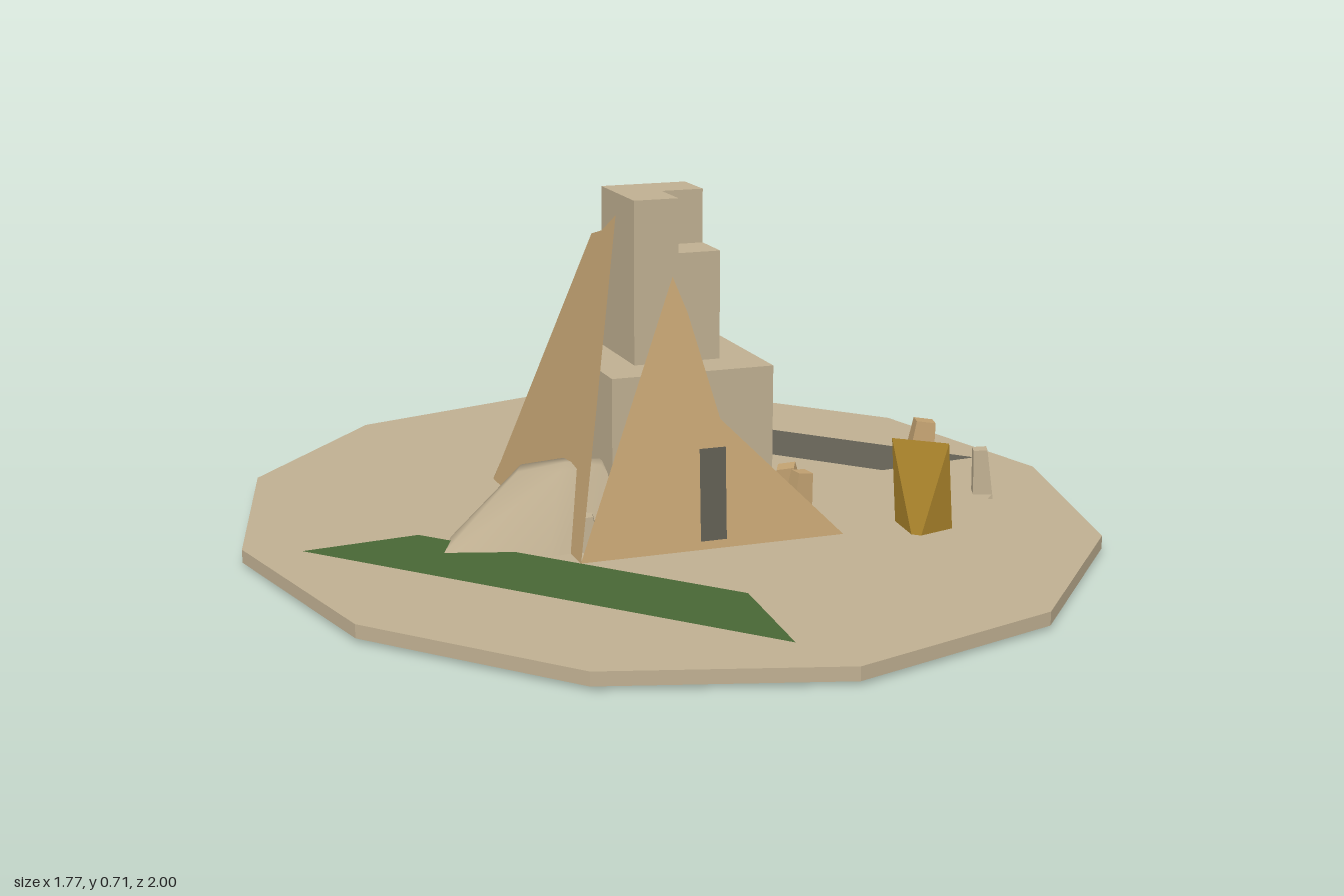
import * as THREE from 'three';

const mat = (name, color, side = THREE.FrontSide) => {
  const m = new THREE.MeshStandardMaterial({ color, side });
  m.name = name;
  return m;
};
const outlineShape = (points) => new THREE.Shape(points.map(([x, y]) => new THREE.Vector2(x, y)));

export function createModel() {
  const stone = mat('pale stone', 0xbfaf91);
  const sandstone = mat('sandstone', 0xc0a070, THREE.DoubleSide);
  const slate = mat('slate grey', 0x625f54);
  const green = mat('grass green', 0x486735);
  const ochre = mat('ochre', 0xb58c2e);

  const model = new THREE.Group();
  const add = (name, geometry, material, x = 0, y = 0, z = 0) => {
    const m = new THREE.Mesh(geometry, material);
    m.name = name;
    m.position.set(x, y, z);
    model.add(m);
    return m;
  };
  // box from its minimum and maximum corners
  const block = (name, a, b, material) => add(name,
    new THREE.BoxGeometry(b[0] - a[0], b[1] - a[1], b[2] - a[2]), material,
    (a[0] + b[0]) / 2, (a[1] + b[1]) / 2, (a[2] + b[2]) / 2);
  // flat-shaded surface from a list of polygons, each fanned into triangles
  const facets = (polygons) => {
    const p = [];
    for (const f of polygons)
      for (let i = 1; i < f.length - 1; i++) p.push(...f[0], ...f[i], ...f[i + 1]);
    const g = new THREE.BufferGeometry();
    g.setAttribute('position', new THREE.Float32BufferAttribute(p, 3));
    g.computeVertexNormals();
    return g;
  };

  // twelve-sided oval ground
  const ground = new THREE.CylinderGeometry(1, 1, 0.027, 12).toNonIndexed();
  ground.scale(0.885, 1, 1);
  ground.computeVertexNormals();
  add('ground', ground, stone, 0, 0.0195, 0);

  // four flat garden plots just above the ground, mirrored around the centre
  const plot = [[0.07, 0.88], [0.05, 0.61], [0.54, 0.055], [0.78, 0.08]];
  for (const [name, sx, sz, material] of [
    ['greenPlot', -1, 1, green], ['greyPlot', 1, -1, slate],
    ['frontSandPlot', 1, 1, stone], ['backSandPlot', -1, -1, stone]]) {
    const g = new THREE.ShapeGeometry(outlineShape(plot.map(([x, z]) => [x * sx, -z * sz])));
    g.rotateX(-Math.PI / 2);
    add(name, g, material, 0, 0.043, 0);
  }

  // stepped core, with one corner of the tower cut away
  block('lowerBlock', [-0.175, 0.03, -0.2], [0.17, 0.367, 0.195], stone);
  block('tower', [-0.095, 0.367, -0.105], [0.09, 0.592, 0.1], stone);
  const ell = outlineShape([[-0.095, 0.105], [-0.095, -0.1], [0, -0.1], [0, 0], [0.09, 0], [0.09, 0.105]]);
  const towerTop = new THREE.ExtrudeGeometry(ell, { depth: 0.112, bevelEnabled: false });
  towerTop.rotateX(-Math.PI / 2);
  add('towerTop', towerTop, stone, 0, 0.592, 0);

  // broken pyramid sides leaning towards the core
  const wall = (name, outline, base, lean, turn) => {
    const g = new THREE.ShapeGeometry(outlineShape(outline));
    const p = g.attributes.position;
    for (let i = 0; i < p.count; i++) p.setZ(i, base - (p.getY(i) - 0.03) * lean);
    g.rotateY(turn);
    g.computeVertexNormals();
    add(name, g, sandstone);
  };
  wall('frontWall', [[-0.28, 0.032], [0.28, 0.032], [0.035, 0.28], [-0.015, 0.49], [-0.04, 0.56]], 0.312, 0.26, 0);
  wall('backWall', [[-0.28, 0.032], [0.28, 0.032], [0.1, 0.53], [0.04, 0.65], [0, 0.615], [-0.04, 0.67]],
    0.318, 0.26, Math.PI);
  wall('rightWall', [[-0.315, 0.032], [0.312, 0.032], [0.06, 0.67], [0, 0.63], [-0.055, 0.615]],
    0.28, 0.25, -Math.PI / 2);

  // thin door plate, leaning back slightly
  add('door', new THREE.PlaneGeometry(0.055, 0.188), slate, -0.002, 0.144, 0.306).rotation.x = -0.05;

  // rounded rubble mound against the right wall: foot ring, crest ring and peak
  const foot = [[-0.5, 0.05], [-0.565, 0.195], [-0.335, 0.268], [-0.07, 0.22], [-0.02, 0.09], [-0.235, 0]];
  const low = foot.map(([x, z]) => [x, 0.004, z]);
  const crest = foot.map(([x, z]) => [-0.25 + (x + 0.25) * 0.35, 0.183, 0.13 + (z - 0.13) * 0.35]);
  const mound = new THREE.BufferGeometry();
  mound.setAttribute('position', new THREE.Float32BufferAttribute(
    [...low, ...crest, [-0.25, 0.187, 0.13]].flat(), 3));
  const faces = [];
  for (let i = 0; i < 6; i++) {
    const j = (i + 1) % 6;
    faces.push(i, j, j + 6, i, j + 6, i + 6, i + 6, j + 6, 12);
  }
  mound.setIndex(faces);
  mound.computeVertexNormals();
  add('rubbleMound', mound, stone);
  add('moundBase', facets([[...low].reverse()]), stone);

  // leaning slab with an ochre underside
  const a1 = [0.41, 0.002, 0.285], b1 = [0.497, 0.002, 0.37], heel = [0.4, 0.002, 0.397];
  const a2 = [0.362, 0.238, 0.355], b2 = [0.45, 0.238, 0.432];
  add('slabTop', facets([[a1, a2, b2, b1]]), stone);
  add('slabUnderside', facets([[a2, heel, b2], [b2, heel, b1], [a2, a1, heel], [a1, b1, heel]]), ochre);

  // tapered standing stones: x, z, radius, top height, turn, lean, material
  for (const [x, z, r, h, turn, lean, material] of [
    [0.62, -0.035, 0.046, 0.15, 0.5, -0.14, sandstone],
    [0.665, 0.17, 0.032, 0.135, 0.4, 0.08, stone],
    [0.255, 0.095, 0.04, 0.118, 0.3, 0.2, sandstone],
    [0.245, 0.16, 0.036, 0.122, 0.9, -0.12, sandstone],
    [-0.237, 0.235, 0.03, 0.1, 0.5, 0.15, stone]]) {
    const g = new THREE.CylinderGeometry(r * 0.65, r, h, 4).toNonIndexed();
    g.computeVertexNormals();
    g.rotateY(turn);
    add('standingStone', g, material, x, h / 2 + 0.005, z).rotation.z = lean;
  }
  return model;
}
